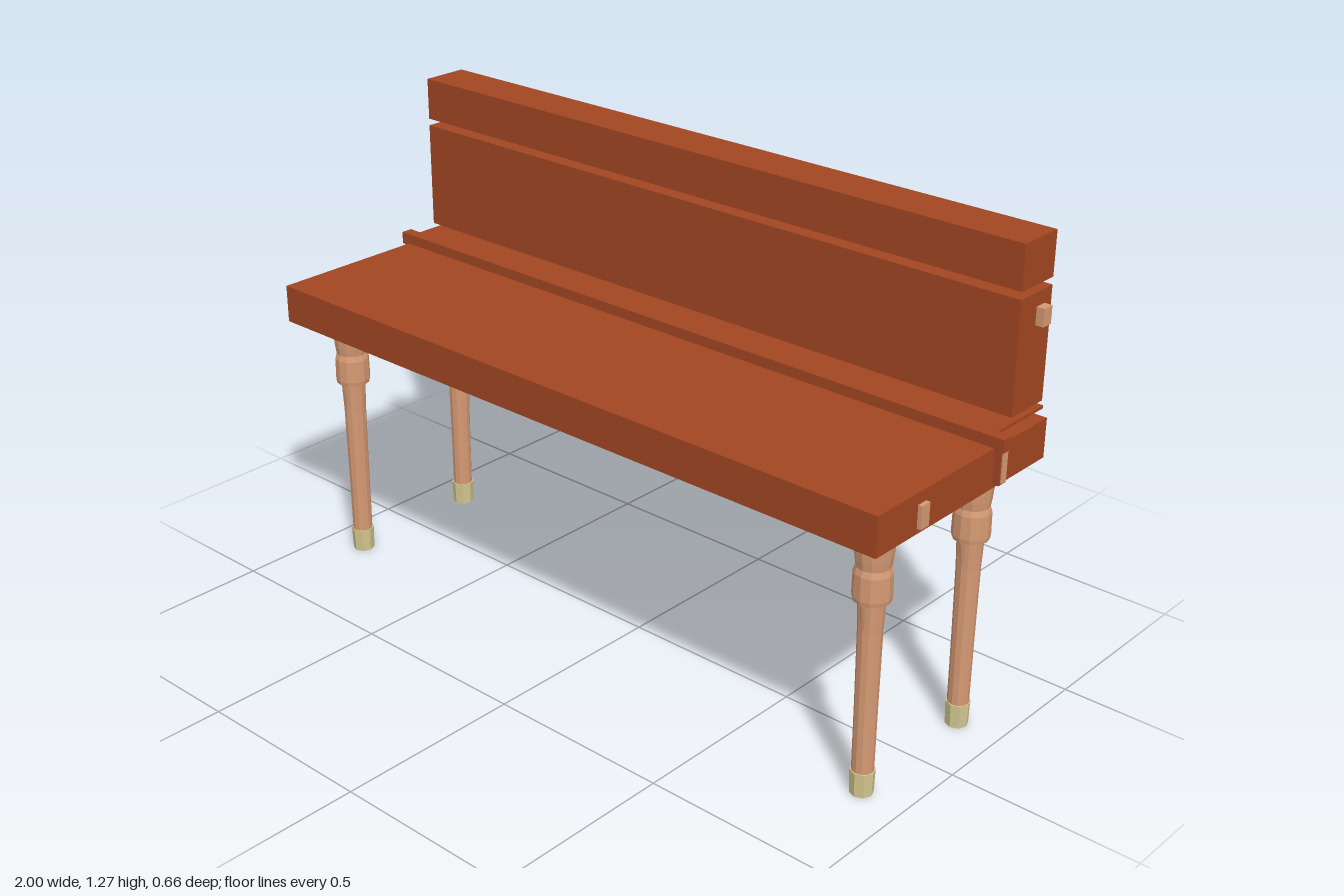
import * as THREE from 'three';

export function createModel() {
  const redWood = new THREE.MeshStandardMaterial({ color: 0xa24622 });
  redWood.name = 'red wood';
  const paleWood = new THREE.MeshStandardMaterial({ color: 0xd69a74 });
  paleWood.name = 'pale wood';
  const footCream = new THREE.MeshStandardMaterial({ color: 0xd2c68e });
  footCream.name = 'foot cream';

  const model = new THREE.Group();
  model.name = 'bench';

  // Box given by its minimum and maximum corners
  const box = (name, material, [x0, y0, z0], [x1, y1, z1]) => {
    const mesh = new THREE.Mesh(new THREE.BoxGeometry(x1 - x0, y1 - y0, z1 - z0), material);
    mesh.position.set((x0 + x1) / 2, (y0 + y1) / 2, (z0 + z1) / 2);
    mesh.name = name;
    model.add(mesh);
  };

  // Seat slab, raised cross strip and the thin shelf below the backrest
  box('seat', redWood, [-0.975, 0.708, -0.328], [0.975, 0.81, 0.328]);
  box('seatStrip', redWood, [-1, 0.805, -0.142], [1, 0.838, -0.11]);
  box('backShelf', redWood, [-0.962, 0.83, -0.328], [0.962, 0.838, -0.14]);

  // Backrest boards
  box('backPanel', redWood, [-0.967, 0.849, -0.328], [0.958, 1.136, -0.2]);
  box('topRail', redWood, [-0.967, 1.155, -0.328], [0.958, 1.268, -0.2]);

  // End pegs and strip brackets
  for (const s of [-1, 1]) {
    const peg = (name, material, inner, outer, y0, y1, z0, z1) =>
      box(name, material, [Math.min(s * inner, s * outer), y0, z0], [Math.max(s * inner, s * outer), y1, z1]);
    peg('seatPeg', paleWood, 0.95, 0.986, 0.722, 0.78, 0.15, 0.18);
    peg('stripBracket', redWood, 0.97, 0.992, 0.72, 0.806, -0.142, -0.112);
    peg('stripPeg', paleWood, 0.97, 0.996, 0.725, 0.806, -0.136, -0.118);
    peg('backPeg', paleWood, 0.94, 0.979, 1.055, 1.1, -0.3, -0.268);
  }
  box('railPeg', paleWood, [-0.971, 1.19, -0.3], [-0.94, 1.23, -0.268]);
  box('lowerBackPeg', paleWood, [-0.971, 0.92, -0.3], [-0.94, 0.96, -0.268]);

  // Turned leg: sleeve in two sections above a slender shaft
  const legProfile = [
    [0, 0.06], [0.027, 0.06], [0.028, 0.25], [0.03, 0.44], [0.033, 0.518],
    [0.045, 0.519], [0.047, 0.53], [0.046, 0.59], [0.041, 0.605],
    [0.044, 0.625], [0.048, 0.67], [0.049, 0.712], [0, 0.712],
  ].map(([r, y]) => new THREE.Vector2(r, y));
  const legGeometry = new THREE.LatheGeometry(legProfile, 12).toNonIndexed();
  legGeometry.computeVertexNormals();
  const footGeometry = new THREE.CylinderGeometry(0.031, 0.029, 0.064, 8).toNonIndexed();
  footGeometry.computeVertexNormals();
  // Small wedge that flares out under the sleeve
  const wedgeGeometry = new THREE.CylinderGeometry(0.015, 0.006, 0.08, 6);

  for (const x of [-0.88, 0.88]) {
    for (const z of [0.197, -0.192]) {
      const leg = new THREE.Group();
      leg.name = 'leg';
      leg.position.set(x, 0, z);
      const shaft = new THREE.Mesh(legGeometry, paleWood);
      shaft.name = 'legShaft';
      const foot = new THREE.Mesh(footGeometry, footCream);
      foot.name = 'foot';
      foot.position.y = 0.032;
      leg.add(shaft, foot);
      for (const s of [-1, 1]) {
        const wedge = new THREE.Mesh(wedgeGeometry, paleWood);
        wedge.name = 'legWedge';
        wedge.position.set(0, 0.482, s * 0.024);
        leg.add(wedge);
      }
      model.add(leg);
    }
  }
  return model;
}
